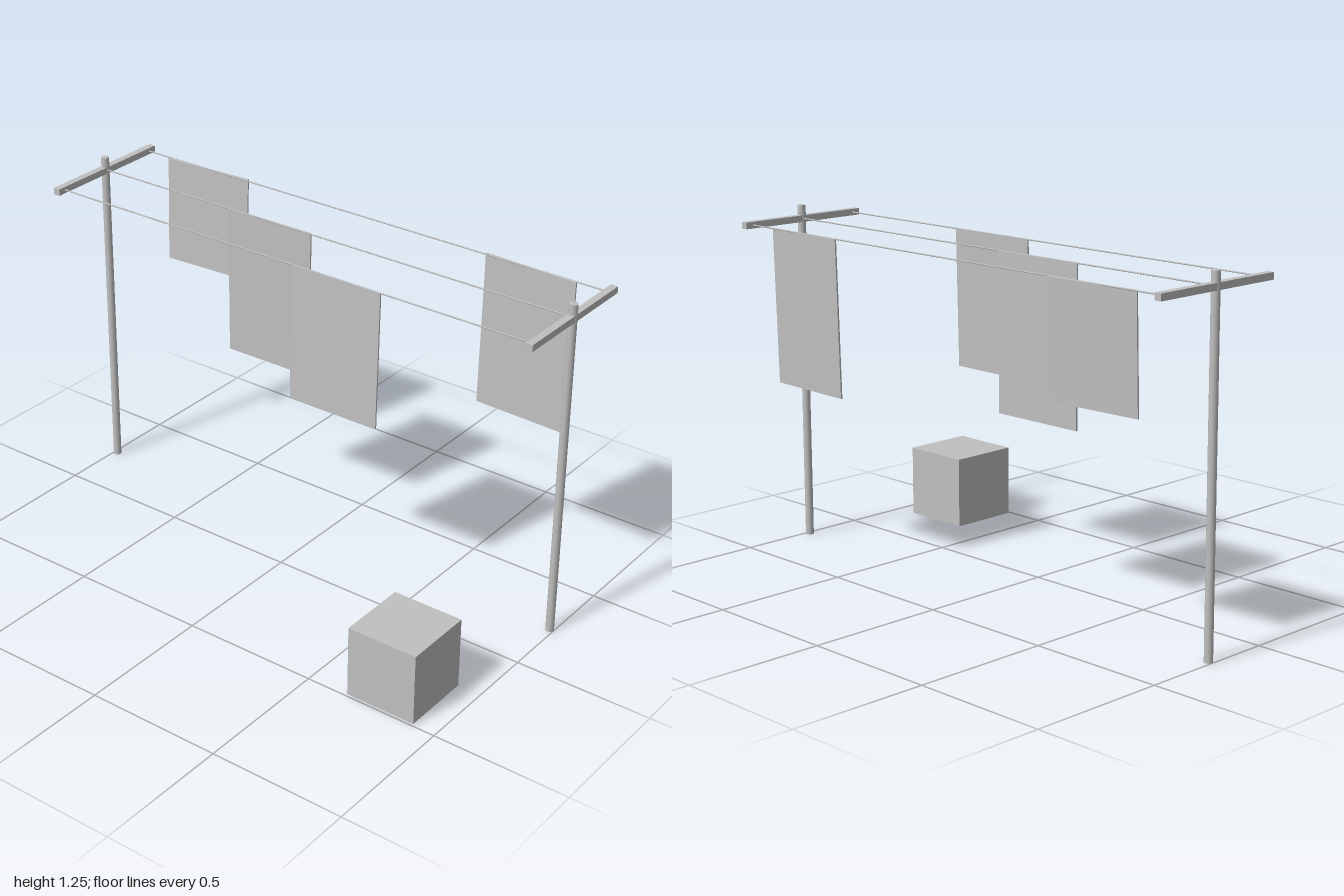
import * as THREE from 'three';

export function createModel() {
  const model = new THREE.Group();
  model.name = 'clothesline';
  const grey = new THREE.MeshStandardMaterial({ color: 0xc0c0c0 });
  grey.name = 'plain grey';

  const add = (name, geometry, x, y, z) => {
    const mesh = new THREE.Mesh(geometry, grey);
    mesh.name = name;
    mesh.position.set(x, y, z);
    model.add(mesh);
    return mesh;
  };

  const lineY = 1.196, midZ = -0.23, postX = 0.985;

  // T-shaped supports at both ends
  for (const [side, s] of [['left', 1], ['right', -1]]) {
    add(side + 'Post', new THREE.CylinderGeometry(0.015, 0.015, 1.245, 12), s * postX, 0.6225, midZ);
    add(side + 'Crossbar', new THREE.BoxGeometry(0.026, 0.024, 0.522), s * postX, lineY, midZ);
  }

  // Three lines strung between the crossbars
  for (const [name, z] of [['frontLine', 0], ['middleLine', midZ], ['backLine', 2 * midZ]]) {
    const line = new THREE.CylinderGeometry(0.0026, 0.0026, 2 * postX, 6);
    line.rotateZ(Math.PI / 2);
    add(name, line, 0, lineY, z);
  }

  // Hanging cloths: centre x, line z, height, swing, turn
  const cloths = [
    [-0.69, -0.461, 0.398, -0.03, 0.055],
    [-0.23, -0.232, 0.553, 0, 0.008],
    [0.227, 0, 0.498, -0.02, 0],
    [0.687, -0.461, 0.56, -0.022, -0.04],
  ];
  cloths.forEach(([x, z, height, swing, turn], i) => {
    const cloth = new THREE.BoxGeometry(0.358, height, 0.006);
    cloth.translate(0, -height / 2, 0); // hangs from its top edge
    const mesh = add('cloth' + (i + 1), cloth, x, lineY + 0.001, z);
    mesh.rotation.set(swing, turn, 0, 'YXZ');
  });

  // Laundry box on the ground
  add('laundryBox', new THREE.BoxGeometry(0.262, 0.262, 0.262), 0.783, 0.132, 0.36);

  return model;
}
